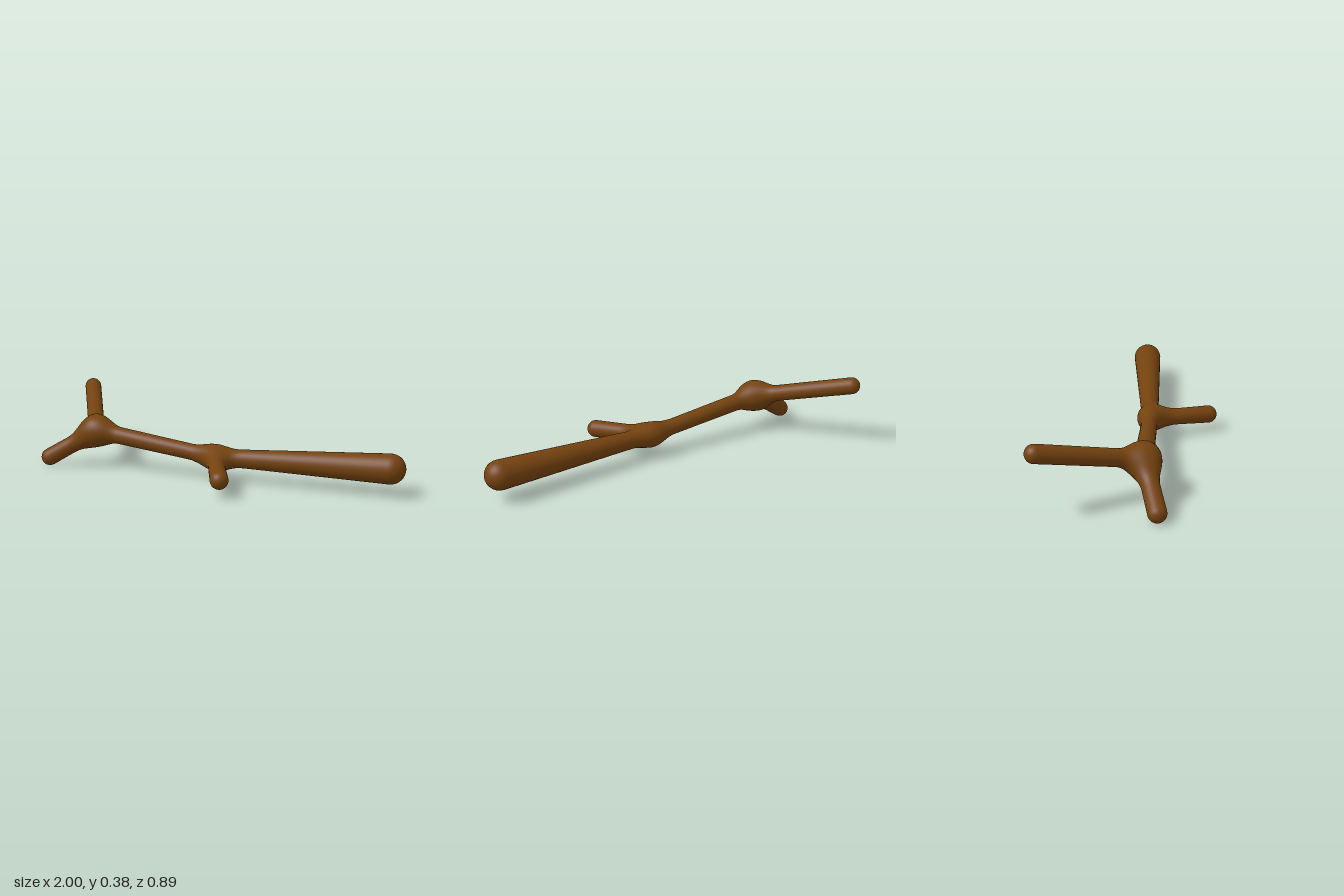
import * as THREE from 'three';

const V = (x, y, z) => new THREE.Vector3(x, y, z);
const BLEND = 0.105;

const joint = V(0.01, 0.122, 0.092);
const fork = V(-0.68, 0.2, 0.078);

// Every limb is a tapered rod with round ends, from a (radius ra) to b (radius rb)
const limbs = [
  { name: 'thickEnd', a: joint, b: V(0.924, 0.14, 0.055), ra: 0.042, rb: 0.076 },
  { name: 'middleStem', a: joint, b: fork, ra: 0.041, rb: 0.046 },
  { name: 'sideTwig', a: joint, b: V(0.16, 0.09, 0.398), ra: 0.04, rb: 0.046 },
  { name: 'upperForkTwig', a: fork, b: V(-0.955, 0.34, -0.4), ra: 0.043, rb: 0.045 },
  { name: 'lowerForkTwig', a: fork, b: V(-0.933, 0.047, 0.146), ra: 0.043, rb: 0.046 },
];

// Signed distance to one limb
function limbDistance(p, { a, b, ra, rb }) {
  const ab = b.clone().sub(a);
  const t = THREE.MathUtils.clamp(p.clone().sub(a).dot(ab) / ab.lengthSq(), 0, 1);
  return p.distanceTo(ab.multiplyScalar(t).add(a)) - (ra + (rb - ra) * t);
}

function smoothMin(a, b) {
  const h = Math.max(BLEND - Math.abs(a - b), 0) / BLEND;
  return Math.min(a, b) - (h * h * BLEND) / 4;
}

// The whole branch: a continuous stem with the twigs melted into it
function field(p) {
  const d = limbs.map((l) => limbDistance(p, l));
  return d.slice(2).reduce(smoothMin, Math.min(d[0], d[1]));
}

function fieldNormal(p) {
  const e = 0.003;
  const slope = (x, y, z) => field(V(p.x + x, p.y + y, p.z + z)) - field(V(p.x - x, p.y - y, p.z - z));
  return V(slope(e, 0, 0), slope(0, e, 0), slope(0, 0, e)).normalize();
}

// A capsule whose points are pushed out from its axis until they reach the blended bark
function limbGeometry({ a, b, ra, rb }) {
  const axis = b.clone().sub(a);
  const length = axis.length();
  const turn = new THREE.Quaternion().setFromUnitVectors(V(0, 1, 0), axis.clone().normalize());
  const middle = a.clone().add(b).multiplyScalar(0.5);
  const geometry = new THREE.CapsuleGeometry(1, length, 8, 32, Math.ceil(length / 0.015));
  const { position, normal } = geometry.attributes;
  const limit = Math.max(ra, rb) + 0.075;
  for (let i = 0; i < position.count; i++) {
    const v = V().fromBufferAttribute(position, i);
    const core = V(0, THREE.MathUtils.clamp(v.y, -length / 2, length / 2), 0);
    const dir = v.sub(core).normalize().applyQuaternion(turn);
    core.applyQuaternion(turn).add(middle);
    let reach = 0;
    for (let step = 0; step < 14; step++) {
      reach = Math.min(reach - field(core.clone().addScaledVector(dir, reach)), limit);
    }
    const p = core.addScaledVector(dir, reach);
    const n = fieldNormal(p);
    position.setXYZ(i, p.x, p.y, p.z);
    normal.setXYZ(i, n.x, n.y, n.z);
  }
  return geometry;
}

export function createModel() {
  const group = new THREE.Group();
  group.name = 'branch';
  const bark = new THREE.MeshStandardMaterial({ color: 0x74420f });
  for (const limb of limbs) {
    const mesh = new THREE.Mesh(limbGeometry(limb), bark);
    mesh.name = limb.name;
    group.add(mesh);
  }
  return group;
}
